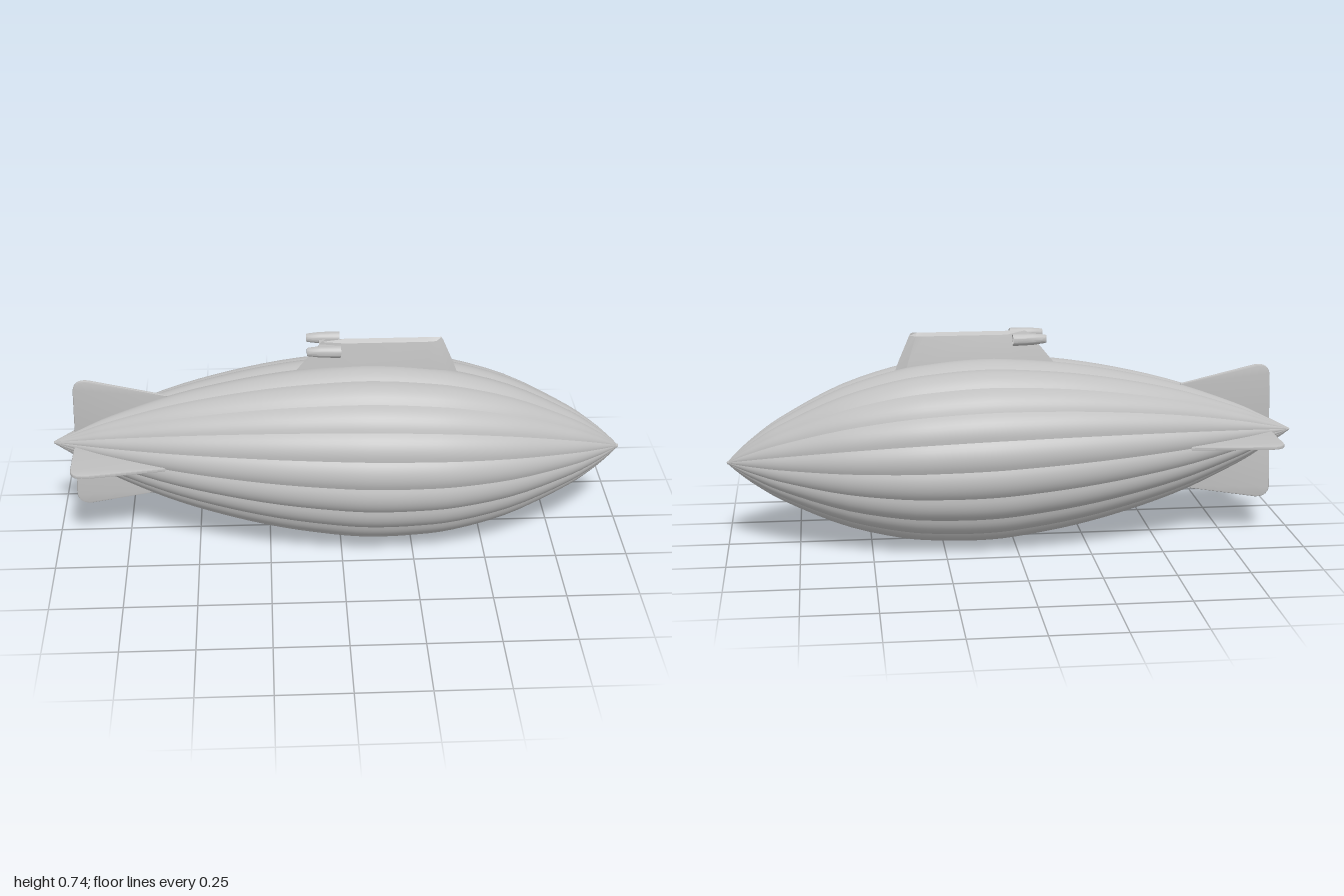
import * as THREE from 'three';
import { mergeGeometries, toCreasedNormals } from 'three/addons/utils/BufferGeometryUtils.js';

const TILT = -0.0327;
const AXIS_Y = 0.332;
const LOBES = 20;

// Hull profile: distance along the axis, radius
const PROFILE = new THREE.SplineCurve([
  [-1, 0.004], [-0.9, 0.06], [-0.8, 0.112], [-0.6, 0.194], [-0.4, 0.253], [-0.2, 0.296],
  [0, 0.322], [0.12, 0.328], [0.25, 0.322], [0.4, 0.303], [0.6, 0.246], [0.8, 0.15],
  [0.9, 0.085], [0.96, 0.036], [0.99, 0.007],
].map(([x, r]) => new THREE.Vector2(x, r)));

// One bulging gore between two seams
function hullLobe(index) {
  const g = new THREE.PlaneGeometry(1, 1, 48, 8);
  const p = g.attributes.position;
  const point = new THREE.Vector2();
  for (let i = 0; i < p.count; i++) {
    const v = p.getY(i) + 0.5;
    PROFILE.getPoint(p.getX(i) + 0.5, point);
    const a = ((index + v) / LOBES) * Math.PI * 2;
    const r = point.y * (0.966 + 0.034 * 4 * v * (1 - v));
    p.setXYZ(i, point.x, r * Math.cos(a), -r * Math.sin(a));
  }
  g.computeVertexNormals();
  return g;
}

// Tail fin with a rounded outer corner and thin bevelled edges
function finGeometry() {
  const s = new THREE.Shape();
  s.moveTo(-0.922, 0.02);
  s.lineTo(-0.922, 0.2);
  s.quadraticCurveTo(-0.922, 0.243, -0.875, 0.238);
  s.lineTo(-0.612, 0.186);
  s.lineTo(-0.64, 0.12);
  s.closePath();
  const g = new THREE.ExtrudeGeometry(s, {
    depth: 0.006, bevelEnabled: true, bevelThickness: 0.004, bevelSize: 0.006, bevelSegments: 2, curveSegments: 8,
  });
  g.translate(0, 0, -0.003);
  return toCreasedNormals(g, 0.6);
}

// Cabin lofted through pointed outlines; the last outline closes into a ridge
function cabinGeometry() {
  const outline = (y, stern, aft, fore, bow, w) => {
    const shoulder = fore + (bow - fore) * 0.6;
    const side = [[stern, 0], [aft, w], [fore, w], [shoulder, w * 0.7], [bow, 0]];
    const back = side.slice(1, 4).reverse().map(([x, z]) => [x, -z]);
    return [...side, ...back].map(([x, z]) => [x, y, z]);
  };
  const rings = [
    outline(0.59, -0.18, -0.02, 0.32, 0.415, 0.035),
    outline(0.645, -0.135, 0, 0.315, 0.395, 0.031),
    outline(0.734, -0.062, 0.02, 0.30, 0.357, 0.015),
    outline(0.745, -0.045, 0.02, 0.30, 0.35, 0.0005),
  ];
  const n = rings[0].length;
  const index = [];
  for (let k = 0; k < rings.length - 1; k++) {
    for (let i = 0; i < n; i++) {
      const a = k * n + i, b = k * n + (i + 1) % n;
      index.push(a, b, b + n, a, b + n, a + n);
    }
  }
  const g = new THREE.BufferGeometry();
  g.setAttribute('position', new THREE.Float32BufferAttribute(rings.flat(2), 3));
  g.setIndex(index);
  return toCreasedNormals(g, 0.3);
}

// Engine pod turned around the x axis, with a rim at the front
function podGeometry() {
  const pts = [
    [0, -0.058], [0.013, -0.058], [0.015, -0.052], [0.02, -0.01], [0.021, 0.05],
    [0.0205, 0.058], [0.018, 0.058], [0.017, 0.054], [0, 0.054],
  ].map(([r, y]) => new THREE.Vector2(r, y));
  const g = new THREE.LatheGeometry(pts, 20);
  g.rotateZ(-Math.PI / 2);
  return toCreasedNormals(g, 0.6);
}

export function createModel() {
  const model = new THREE.Group();
  model.name = 'airship';
  const grey = new THREE.MeshStandardMaterial({ color: 0xc0c0c0 });
  grey.name = 'hull grey';

  const add = (parent, name, geometry, x = 0, y = 0, z = 0) => {
    const mesh = new THREE.Mesh(geometry, grey);
    mesh.name = name;
    mesh.position.set(x, y, z);
    parent.add(mesh);
    return mesh;
  };

  // Tilted envelope with its nose cap and fins
  const envelope = new THREE.Group();
  envelope.name = 'envelope';
  envelope.position.y = AXIS_Y;
  envelope.rotation.z = TILT;
  model.add(envelope);

  const lobes = Array.from({ length: LOBES }, (_, i) => hullLobe(i));
  add(envelope, 'hull', mergeGeometries(lobes));
  add(envelope, 'noseCap', new THREE.SphereGeometry(0.007, 12, 8), 0.99);
  add(envelope, 'tailCap', new THREE.SphereGeometry(0.005, 12, 8), -0.997);

  const fin = finGeometry();
  ['topFin', 'leftFin', 'bottomFin', 'rightFin'].forEach((name, i) => {
    add(envelope, name, fin).rotation.x = (i * Math.PI) / 2;
  });

  // Cabin with a pair of engines on a thin cross strut
  add(model, 'cabin', cabinGeometry());
  add(model, 'engineStrut', new THREE.BoxGeometry(0.055, 0.005, 0.09), -0.042, 0.723, 0);
  const pod = podGeometry();
  for (const side of [-1, 1]) {
    add(model, side > 0 ? 'frontEngine' : 'backEngine', pod, -0.055, 0.724, side * 0.055).rotation.z = TILT * 0.5;
  }
  return model;
}
